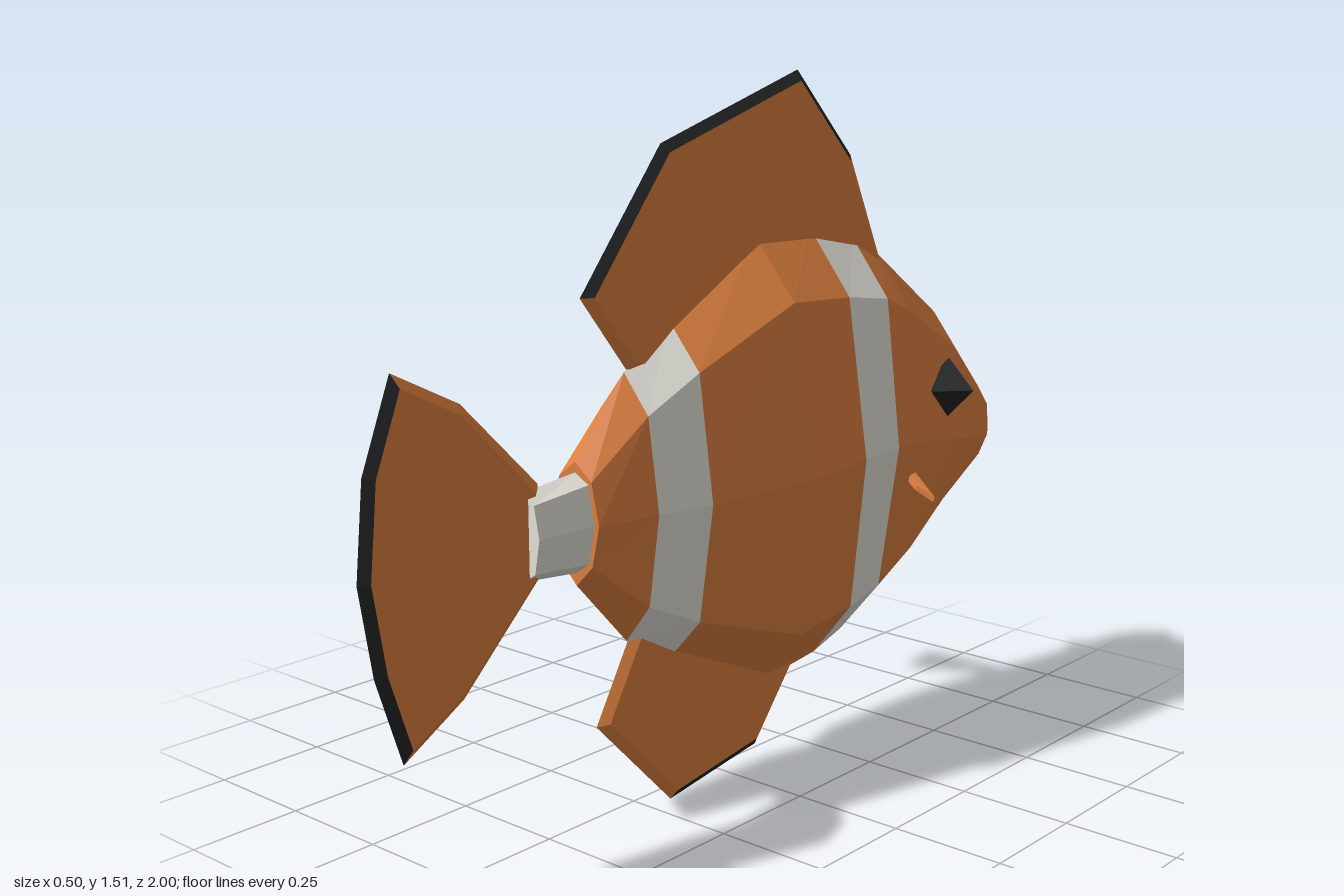
import * as THREE from 'three';
import { ConvexGeometry } from 'three/addons/geometries/ConvexGeometry.js';

const CX = 0.05; // the fish's mid plane

function material(name, color) {
  const m = new THREE.MeshStandardMaterial({ color, flatShading: true });
  m.name = name;
  return m;
}

// Flat-shaded geometry from a list of triangles
function fromTriangles(tris) {
  const g = new THREE.BufferGeometry().setFromPoints(tris.flat());
  g.computeVertexNormals();
  return g;
}

// Eight-sided ring: [zTop, zBottom, top, shoulder, middle, lower, bottom, halfWidth]
function ring([zt, zb, top, sh, mid, low, bot, w]) {
  const heights = [top, sh, mid, low, bot, low, mid, sh];
  const widths = [0, 0.7, 1, 0.7, 0, -0.7, -1, -0.7];
  return heights.map((y, i) => new THREE.Vector3(
    CX + w * widths[i], y, THREE.MathUtils.lerp(zb, zt, (y - bot) / (top - bot))));
}

// Skin between consecutive rings, optionally closed by a nose point or an end cap
function hull(sections, nose, capEnd) {
  const rings = sections.map(ring);
  const tris = [];
  for (let j = 0; j < 8; j++) {
    const k = (j + 1) % 8;
    for (let i = 0; i + 1 < rings.length; i++) {
      const a = rings[i], b = rings[i + 1];
      tris.push([a[j], b[j], b[k]], [a[j], b[k], a[k]]);
    }
    if (nose) tris.push([nose, rings[0][j], rings[0][k]]);
    if (capEnd) {
      const e = rings[rings.length - 1];
      const s = sections[sections.length - 1];
      tris.push([new THREE.Vector3(CX, s[4], s[0]), e[k], e[j]]);
    }
  }
  return fromTriangles(tris);
}

// Thin fin with bevelled rim; outline is [z, y] counter-clockwise seen from +x
function finGeometries(outline, darkEdges) {
  const T = 0.015, BEVEL = 0.02, n = outline.length;
  const o = outline.map(([z, y]) => new THREE.Vector2(y, z));
  const normals = o.map((p, i) => {
    const d = o[(i + 1) % n].clone().sub(p).normalize();
    return new THREE.Vector2(-d.y, d.x);
  });
  const inner = o.map((p, i) => {
    const a = normals[(i + n - 1) % n], b = normals[i];
    return p.clone().addScaledVector(a.clone().add(b), BEVEL / (1 + a.dot(b)));
  });
  const at = (p, x) => new THREE.Vector3(CX + x, p.x, p.y);
  const plain = [], dark = [];
  for (const [i, j, k] of THREE.ShapeUtils.triangulateShape(inner, [])) {
    plain.push([at(inner[i], T), at(inner[j], T), at(inner[k], T)],
      [at(inner[k], -T), at(inner[j], -T), at(inner[i], -T)]);
  }
  for (let i = 0; i < n; i++) {
    const j = (i + 1) % n, list = darkEdges.includes(i) ? dark : plain;
    for (const s of [1, -1]) {
      const a = at(o[i], 0), b = at(o[j], 0), c = at(inner[j], s * T), d = at(inner[i], s * T);
      if (s > 0) list.push([a, b, c], [a, c, d]);
      else list.push([c, b, a], [d, c, a]);
    }
  }
  return [fromTriangles(plain), fromTriangles(dark)];
}

export function createModel() {
  const orange = material('orange', 0xdf8140);
  const white = material('white', 0xe6e4dc);
  const black = material('black', 0x232425);
  const fish = new THREE.Group();
  fish.name = 'fish';
  const add = (name, geometry, mat, parent = fish) => {
    const m = new THREE.Mesh(geometry, mat);
    m.name = name;
    parent.add(m);
    return m;
  };

  // Body cross-sections from snout to tail base
  const S = [
    [-0.95, -0.90, 0.72, 0.68, 0.61, 0.56, 0.53, 0.05],
    [-0.75, -0.70, 0.93, 0.85, 0.64, 0.49, 0.42, 0.097],
    [-0.52, -0.55, 1.09, 0.97, 0.67, 0.41, 0.325, 0.128],
    [-0.42, -0.40, 1.14, 1.01, 0.68, 0.355, 0.23, 0.148],
    [-0.27, -0.30, 1.17, 1.03, 0.675, 0.33, 0.20, 0.15],
    [-0.08, -0.12, 1.175, 1.04, 0.665, 0.31, 0.18, 0.15],
    [0.19, 0.19, 1.03, 0.93, 0.665, 0.41, 0.315, 0.12],
    [0.32, 0.32, 0.94, 0.86, 0.665, 0.47, 0.385, 0.092],
    [0.46, 0.46, 0.785, 0.75, 0.665, 0.58, 0.535, 0.063],
  ];
  add('head', hull(S.slice(0, 4), new THREE.Vector3(CX, 0.61, -1)), orange);
  add('frontStripe', hull(S.slice(3, 5)), white);
  add('middleBody', hull(S.slice(4, 7)), orange);
  add('rearStripe', hull(S.slice(6, 8)), white);
  add('rearBody', hull(S.slice(7, 9), null, true), orange);
  add('tailBase', hull([
    [0.45, 0.45, 0.765, 0.745, 0.665, 0.585, 0.56, 0.052],
    [0.6, 0.6, 0.75, 0.73, 0.665, 0.595, 0.575, 0.043],
  ], null, true), white);

  // Upright fins with dark rims
  const fins = {
    backFin: [[[-0.53, 1.07], [-0.41, 1.32], [-0.22, 1.51], [0.21, 1.38], [0.44, 1.10],
      [0.31, 0.94], [0.1, 0.9], [-0.3, 0.95]], [1, 2, 3]],
    tailFin: [[[0.56, 0.76], [0.75, 0.945], [0.91, 1.025], [0.98, 0.85], [1, 0.66],
      [0.97, 0.48], [0.91, 0.3], [0.76, 0.385], [0.56, 0.575]], [2, 3, 4, 5]],
    bellyFin: [[[0.29, 0.43], [0.41, 0.225], [0.19, 0], [-0.09, 0.04], [-0.23, 0.21],
      [-0.1, 0.32], [0.15, 0.45]], [2]],
  };
  for (const [name, [outline, edges]] of Object.entries(fins)) {
    const g = new THREE.Group();
    g.name = name;
    fish.add(g);
    const [plain, dark] = finGeometries(outline, edges);
    add(name + 'Blade', plain, orange, g);
    add(name + 'Rim', dark, black, g);
  }

  // Side fins: thin wedges opening outward
  const wedge = (points, t) => new ConvexGeometry(points.flatMap(([x, y, z]) =>
    [-t, t].map((d) => new THREE.Vector3(x + d * 0.4, y + d, z))));
  add('rightSideFin', wedge([[-0.03, 0.615, -0.505], [-0.03, 0.615, -0.49],
    [-0.247, 0.495, -0.572], [-0.235, 0.5, -0.445]], 0.007), orange);
  add('leftSideFin', wedge([[0.13, 0.615, -0.53], [0.13, 0.615, -0.5],
    [0.247, 0.556, -0.48], [0.2, 0.578, -0.475]], 0.006), orange);

  // Eyes
  for (const side of [1, -1]) {
    const eye = add(side > 0 ? 'leftEye' : 'rightEye', new THREE.OctahedronGeometry(0.069), black);
    eye.position.set(CX + side * 0.107, 0.775, -0.66);
  }
  return fish;
}
